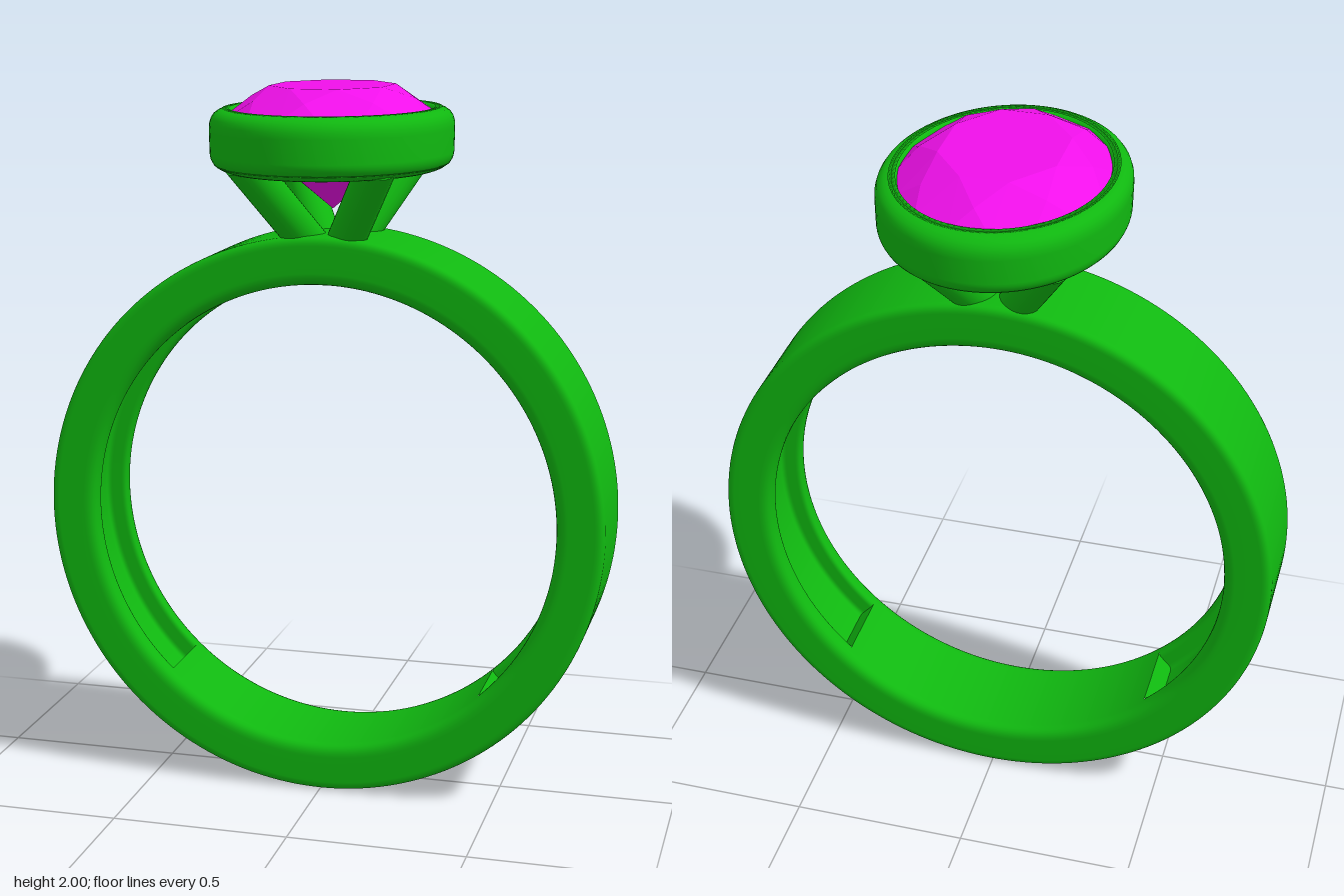
import * as THREE from 'three';
import { ConvexGeometry } from 'three/addons/geometries/ConvexGeometry.js';

const metal = new THREE.MeshStandardMaterial({ color: 0x10b810 });
const stone = new THREE.MeshStandardMaterial({ color: 0xf010ea });

// Closed profile from corners [radius, height, rounding], starting mid-way along the last-to-first edge
function roundedProfile(corners) {
  const n = corners.length;
  const p = corners.map(([x, y]) => new THREE.Vector2(x, y));
  const start = p[n - 1].clone().lerp(p[0], 0.5);
  const out = [start];
  corners.forEach(([, , r], i) => {
    const c = p[i];
    const toward = (q) => c.clone().add(q.clone().sub(c).setLength(r));
    const curve = new THREE.QuadraticBezierCurve(toward(p[(i + n - 1) % n]), c, toward(p[(i + 1) % n]));
    out.push(...curve.getPoints(6));
  });
  out.push(start.clone());
  return out;
}

function add(group, name, geometry, material = metal) {
  const mesh = new THREE.Mesh(geometry, material);
  mesh.name = name;
  group.add(mesh);
  return mesh;
}

export function createModel() {
  const model = new THREE.Group();
  model.name = 'ring';

  // Band: solid at top and bottom, hollowed along the inside of both sides
  const R = 0.8, r = 0.665, w = 0.157, floor = 0.725, g = 0.1;
  const band = new THREE.Group();
  band.name = 'band';
  band.position.y = R;
  model.add(band);
  const solid = roundedProfile([[R, w, 0.025], [r, w, 0.035], [r, -w, 0.035], [R, -w, 0.025]]);
  const hollow = roundedProfile([
    [R, w, 0.025], [r, w, 0.035], [r, g, 0.015], [floor, g, 0.015],
    [floor, -g, 0.015], [r, -g, 0.015], [r, -w, 0.035], [R, -w, 0.025],
  ]);
  // Angles in degrees are measured from the bottom of the band
  const sectors = [
    ['bandBottom', solid, -43, 43], ['bandLeftSide', hollow, 43, 163],
    ['bandTop', solid, 163, 197], ['bandRightSide', hollow, 197, 317],
  ];
  for (const [name, profile, a, b] of sectors) {
    const geo = new THREE.LatheGeometry(profile, Math.round((b - a) / 2),
      THREE.MathUtils.degToRad(a), THREE.MathUtils.degToRad(b - a));
    geo.rotateX(Math.PI / 2);
    add(band, name, geo);
  }
  // End walls of the hollows
  const wallMaterial = metal.clone();
  wallMaterial.side = THREE.DoubleSide;
  for (const deg of [43, 163, 197, 317]) {
    const wall = new THREE.PlaneGeometry(floor - r + 0.01, 2 * g + 0.01);
    wall.rotateX(Math.PI / 2);
    wall.translate((floor + r) / 2 + 0.005, 0, 0);
    wall.rotateZ(THREE.MathUtils.degToRad(deg - 90));
    add(band, 'hollowEnd', wall, wallMaterial);
  }

  // Four prongs meeting at the inside of the band
  const foot = new THREE.Vector3(0, 1.485, 0);
  for (const sx of [-1, 1]) {
    for (const sz of [-1, 1]) {
      const head = new THREE.Vector3(sx * 0.187, 1.81, sz * 0.245);
      const dir = head.clone().sub(foot);
      const prong = add(model, 'prong', new THREE.CylinderGeometry(0.053, 0.053, dir.length(), 24));
      prong.position.copy(foot).addScaledVector(dir, 0.5);
      prong.quaternion.setFromUnitVectors(new THREE.Vector3(0, 1, 0), dir.normalize());
    }
  }
  const button = add(model, 'prongFoot', new THREE.SphereGeometry(0.055, 24, 12));
  button.scale.y = 0.4;
  button.position.y = 1.48;

  // Oval bezel
  const bezel = add(model, 'bezel', new THREE.LatheGeometry(roundedProfile([
    [0.3, 1.77, 0.03], [0.33, 1.8, 0.02], [0.333, 1.94, 0.055],
    [0.272, 1.94, 0.025], [0.272, 1.88, 0.015], [0.225, 1.83, 0.015], [0.225, 1.77, 0.012],
  ]), 96));
  bezel.scale.z = 1.25;

  // Oval cut gem: rings of [count, turn, scale, height], closed by the point below
  const points = [new THREE.Vector3(0, 1.66, 0)];
  const rings = [
    [8, 0.5, 0.61, 2], [8, 0, 0.83, 1.967], [16, 0.5, 1, 1.925],
    [16, 0.5, 1, 1.905], [8, 0, 0.44, 1.765],
  ];
  for (const [count, turn, scale, y] of rings) {
    for (let i = 0; i < count; i++) {
      const a = ((i + turn) / count) * Math.PI * 2;
      points.push(new THREE.Vector3(0.28 * scale * Math.cos(a), y, 0.357 * scale * Math.sin(a)));
    }
  }
  add(model, 'gem', new ConvexGeometry(points), stone);

  return model;
}
